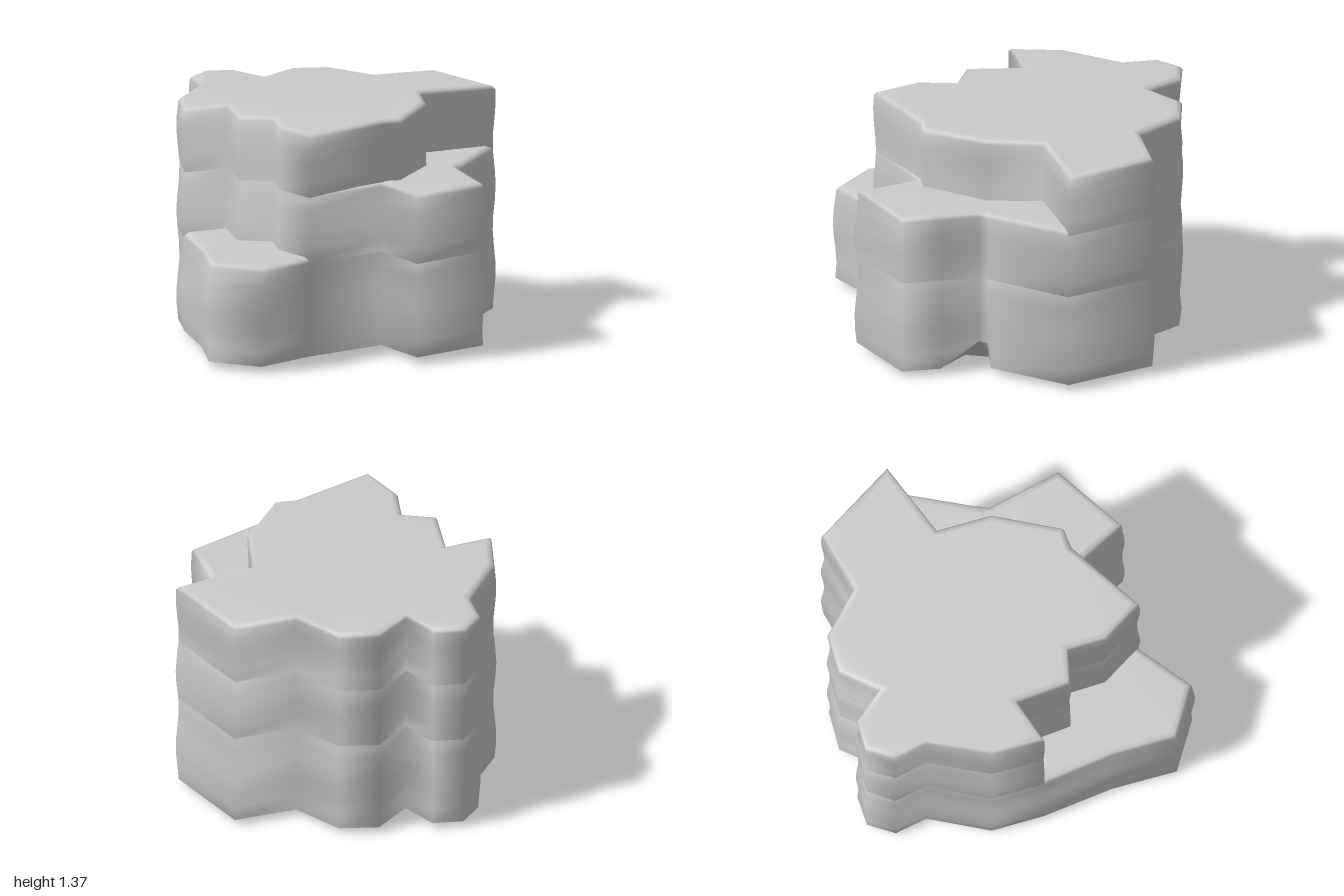
import * as THREE from 'three';

// Plan outlines as [x, z], running back -> left -> front -> right
const back = [[-0.685, -0.86], [-0.57, -0.99], [-0.39, -0.97], [-0.27, -0.78], [-0.08, -0.95],
  [0.15, -0.92], [0.35, -0.67], [0.72, -0.715], [0.95, -0.21]];
const leftShelf = [[0.66, 0.215], [0.65, 0.235], [0.62, 0.28], [0.645, 0.5], [0.67, 0.73],
  [0.23, 0.95], [0.1, 0.59]];
const leftInner = [[0.49, -0.1], [0.45, 0.22], [0.22, 0.57], [0.1, 0.57]];
const rightShelf = [[-0.37, 0.79], [-0.7, 0.99], [-0.96, 0.78], [-0.92, 0.4]];
const rightInner = [[-0.37, 0.79], [-0.49, 0.53], [-0.47, 0.31], [-0.66, 0.24], [-0.65, -0.08]];
const rightBack = [[-0.92, -0.03], [-0.88, -0.34], [-0.67, -0.66]];

// Heights shared by all tiers, so that their walls meet without a seam
const levels = [0.04, 0.13, 0.22, 0.31, 0.4, 0.5, 0.59, 0.68, 0.77, 0.87, 0.97, 1.06, 1.15, 1.24, 1.32];

// Weathered wall: each corner swells and narrows with height
function wallPoint([x, z], y) {
  const s = 1 + 0.01 * Math.sin(y * 12.6 - 2.2 + 1.5 * Math.sin(x * 3 - z * 2 - 3));
  return new THREE.Vector3(x * s, y, z * s);
}

// Move a closed ring inwards by a mitred distance
function insetRing(ring, d, rise) {
  const n = ring.length;
  return ring.map((p, i) => {
    const a = ring[(i + n - 1) % n], b = ring[(i + 1) % n];
    const u = new THREE.Vector2(p.x - a.x, p.z - a.z).normalize();
    const v = new THREE.Vector2(b.x - p.x, b.z - p.z).normalize();
    const m = new THREE.Vector2(-u.y - v.y, u.x + v.x).normalize();
    const k = d / Math.max(0.5, -m.x * u.y + m.y * u.x);
    return new THREE.Vector3(p.x + m.x * k, p.y + rise, p.z + m.y * k);
  });
}

// Skin a stack of rings; close the last with a top and optionally the first with a ceiling
function loft(rings, closeStart) {
  const n = rings[0].length, index = [];
  for (let r = 0; r < rings.length - 1; r++) {
    for (let i = 0; i < n; i++) {
      const a = r * n + i, b = r * n + (i + 1) % n;
      index.push(a, a + n, b, b, a + n, b + n);
    }
  }
  const cap = (r, flip) => {
    const flat = rings[r].map(p => new THREE.Vector2(p.x, p.z));
    for (const [a, b, c] of THREE.ShapeUtils.triangulateShape(flat, [])) {
      index.push(r * n + a, r * n + (flip ? c : b), r * n + (flip ? b : c));
    }
  };
  cap(rings.length - 1, true);
  if (closeStart) cap(0, false);
  const g = new THREE.BufferGeometry().setFromPoints(rings.flat());
  g.setIndex(index);
  g.computeVertexNormals();
  return g;
}

// One tier between two levels: wavy wall with a rounded rim
function tierRings(outline, first, last, heightOf = (p, y) => y) {
  const rings = levels.slice(first, last + 1).map(y => outline.map(p => wallPoint(p, heightOf(p, y))));
  const rim = rings[rings.length - 1];
  return [...rings, insetRing(rim, 0.012, 0.018), insetRing(rim, 0.04, 0.028)];
}

// Winding ridges in the hollow beneath, blended between the outline and a circle
function hollowRings(outline) {
  const cx = -0.1, cz = -0.1;
  const profile = [[0.18, 0.26], [0.21, 0.02], [0.36, 0.02], [0.39, 0.22], [0.52, 0.22], [0.55, 0.02],
    [0.68, 0.02], [0.71, 0.2], [0.87, 0.2], [0.9, 0.035], [1, 0.035]];
  return profile.map(([s, y], r) => outline.map(([x, z], i) => {
    const wobble = 1 + 0.04 * (1 - s) * Math.sin(i * 2.1 + Math.floor(r / 2));
    const k = s * wobble * (0.3 + 0.42 / Math.hypot(x - cx, z - cz));
    return new THREE.Vector3(cx + (x - cx) * k, y, cz + (z - cz) * k);
  }));
}

export function createModel() {
  const group = new THREE.Group();
  const material = new THREE.MeshStandardMaterial({ color: 0xcccccc });
  const add = (name, geometry) => {
    const mesh = new THREE.Mesh(geometry, material);
    mesh.name = name;
    group.add(mesh);
    return mesh;
  };

  // Base tier with its hollow and narrow bottom lip, and a small notch cut up into the left side
  const base = [...back, ...leftShelf, ...rightShelf, ...rightBack];
  const notched = ([x, z], y) => (Math.hypot(x - 0.62, z - 0.28) < 0.06 ? Math.max(y, 0.19) : y);
  const baseWall = tierRings(base, 0, 6, notched);
  add('baseRock', loft([...hollowRings(base), insetRing(baseWall[0], 0.015, -0.004), ...baseWall], true));

  // Middle tier, leaving the low right shelf exposed
  const middle = [...back, ...leftShelf, ...rightInner, ...rightBack];
  add('middleRock', loft(tierRings(middle, 6, 10), false));

  // Upper tier, with a slight swell in its plateau
  const upper = [...back, ...leftInner, ...rightInner, ...rightBack];
  const swell = ([x, z], y) => y + 0.025 * Math.exp(-4 * ((x - 0.45) ** 2 + (z - 0.22) ** 2)) * (y > 1.3);
  add('upperRock', loft(tierRings(upper, 10, 14, swell), false));

  // Small foot under the back rim
  const foot = add('undersideFoot', new THREE.CylinderGeometry(0.12, 0.07, 0.04, 6));
  foot.position.set(-0.13, 0.02, -0.57);
  return group;
}
